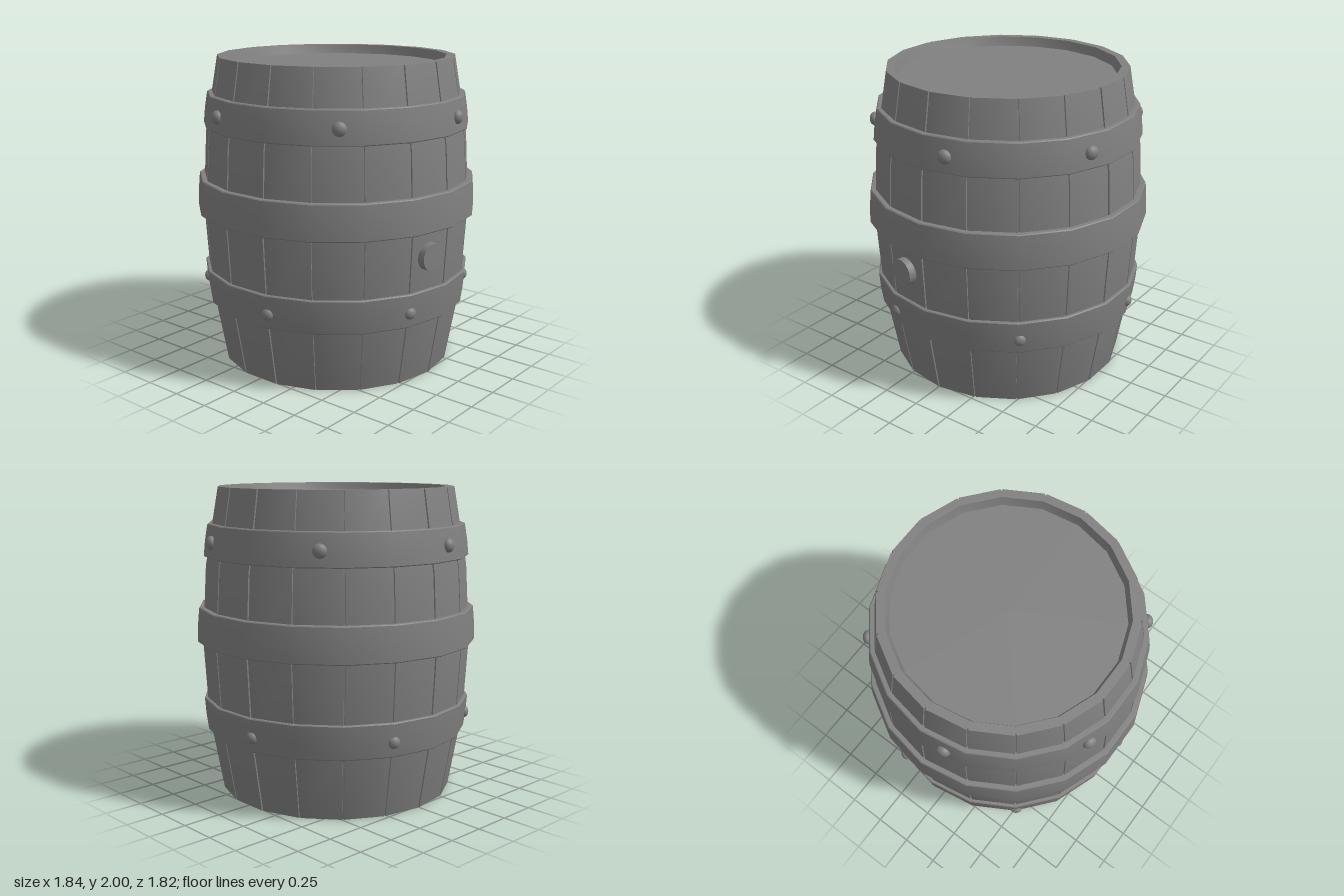
import * as THREE from 'three';
import { toCreasedNormals } from 'three/addons/utils/BufferGeometryUtils.js';

const SIDES = 18;
const HALF = Math.PI / SIDES;
const HEIGHT = 2;
const SEGMENTS = 4; // straight sections along a stave
const DEPTH = 0.01; // depth of the seams between staves
const material = new THREE.MeshStandardMaterial({ color: 0x808080 });

// barrel corner radius at a height
const bulge = (y) => 0.887 - 0.117 * (y - 1) ** 2;

function add(parent, name, geometry) {
  const mesh = new THREE.Mesh(geometry, material);
  mesh.name = name;
  parent.add(mesh);
  return mesh;
}

// 18-sided turned part with a corner on the x axis
function turned(profile) {
  const points = profile.map(([r, y]) => new THREE.Vector2(r, y));
  return toCreasedNormals(new THREE.LatheGeometry(points, SIDES, Math.PI / 2), Math.PI / 6);
}

// places a mesh on the side so that its local z points outward
function placeOutward(mesh, radius, y, degrees) {
  const a = THREE.MathUtils.degToRad(degrees);
  mesh.position.set(radius * Math.cos(a), y, radius * Math.sin(a));
  mesh.rotation.y = Math.PI / 2 - a;
}

// one curved plank, bent from a box, shaded round across its outer face
function staveGeometry() {
  const geometry = new THREE.BoxGeometry(1, HEIGHT, 1, 1, SEGMENTS, 1);
  const p = geometry.attributes.position;
  const n = geometry.attributes.normal;
  const outer = Array.from({ length: p.count }, (_, i) => n.getZ(i) > 0.5);
  for (let i = 0; i < p.count; i++) {
    const y = p.getY(i) + HEIGHT / 2;
    const r = bulge(y);
    const width = 2 * (r * Math.sin(HALF) - 0.006);
    const z = r * Math.cos(HALF) - (p.getZ(i) > 0 ? 0 : DEPTH);
    p.setXYZ(i, p.getX(i) * width, y, z);
  }
  geometry.computeVertexNormals();
  const v = new THREE.Vector3();
  for (let i = 0; i < p.count; i++) {
    if (!outer[i]) continue;
    const y = p.getY(i);
    v.set(p.getX(i), 0.234 * (y - 1) * bulge(y), p.getZ(i)).normalize();
    n.setXYZ(i, v.x, v.y, v.z);
  }
  return geometry;
}

export function createModel() {
  const barrel = new THREE.Group();
  barrel.name = 'barrel';

  // core: bottom, seam floor, rim and sunken head
  const core = [[0, 0]];
  for (let i = 0; i <= SEGMENTS; i++) {
    const y = (HEIGHT * i) / SEGMENTS;
    core.push([bulge(y) - DEPTH / Math.cos(HALF), y]);
  }
  core.push([0.715, 2], [0.696, 1.94], [0, 1.94]);
  add(barrel, 'core', turned(core));

  // staves
  const staves = new THREE.Group();
  staves.name = 'staves';
  barrel.add(staves);
  const stave = staveGeometry();
  for (let i = 0; i < SIDES; i++) {
    placeOutward(add(staves, 'stave', stave), 0, 0, 10 + 20 * i);
  }

  // hoops: bottom and top heights with their radii
  const hoops = [
    ['lowerHoop', 0.405, 0.627, 0.864, 0.886],
    ['middleHoop', 1.0, 1.228, 0.922, 0.908],
    ['upperHoop', 1.557, 1.767, 0.869, 0.842],
  ];
  for (const [name, y0, y1, r0, r1] of hoops) {
    const b = 0.006;
    add(barrel, name, turned([
      [r0 - 0.06, y0], [r0 - b, y0], [r0, y0 + b],
      [(r0 + r1) / 2 + 0.003, (y0 + y1) / 2],
      [r1, y1 - b], [r1 - b, y1], [r1 - 0.06, y1],
    ]));
  }

  // domed rivets, six on each outer hoop
  const rivets = new THREE.Group();
  rivets.name = 'rivets';
  barrel.add(rivets);
  const upperDome = new THREE.SphereGeometry(0.044, 16, 12).scale(1, 1, 0.75);
  const lowerDome = new THREE.SphereGeometry(0.039, 16, 12).scale(1, 1, 0.75);
  for (let i = 0; i < 6; i++) {
    placeOutward(add(rivets, 'upperRivet', upperDome), 0.85, 1.657, 49.5 + 60 * i);
    placeOutward(add(rivets, 'lowerRivet', lowerDome), 0.868, 0.502, 19.5 + 60 * i);
  }

  // bung plug on the left side
  const plug = new THREE.CylinderGeometry(0.087, 0.087, 0.085, 32).rotateX(Math.PI / 2);
  placeOutward(add(barrel, 'bung', plug), 0.872, 0.844, 10.4);

  return barrel;
}
